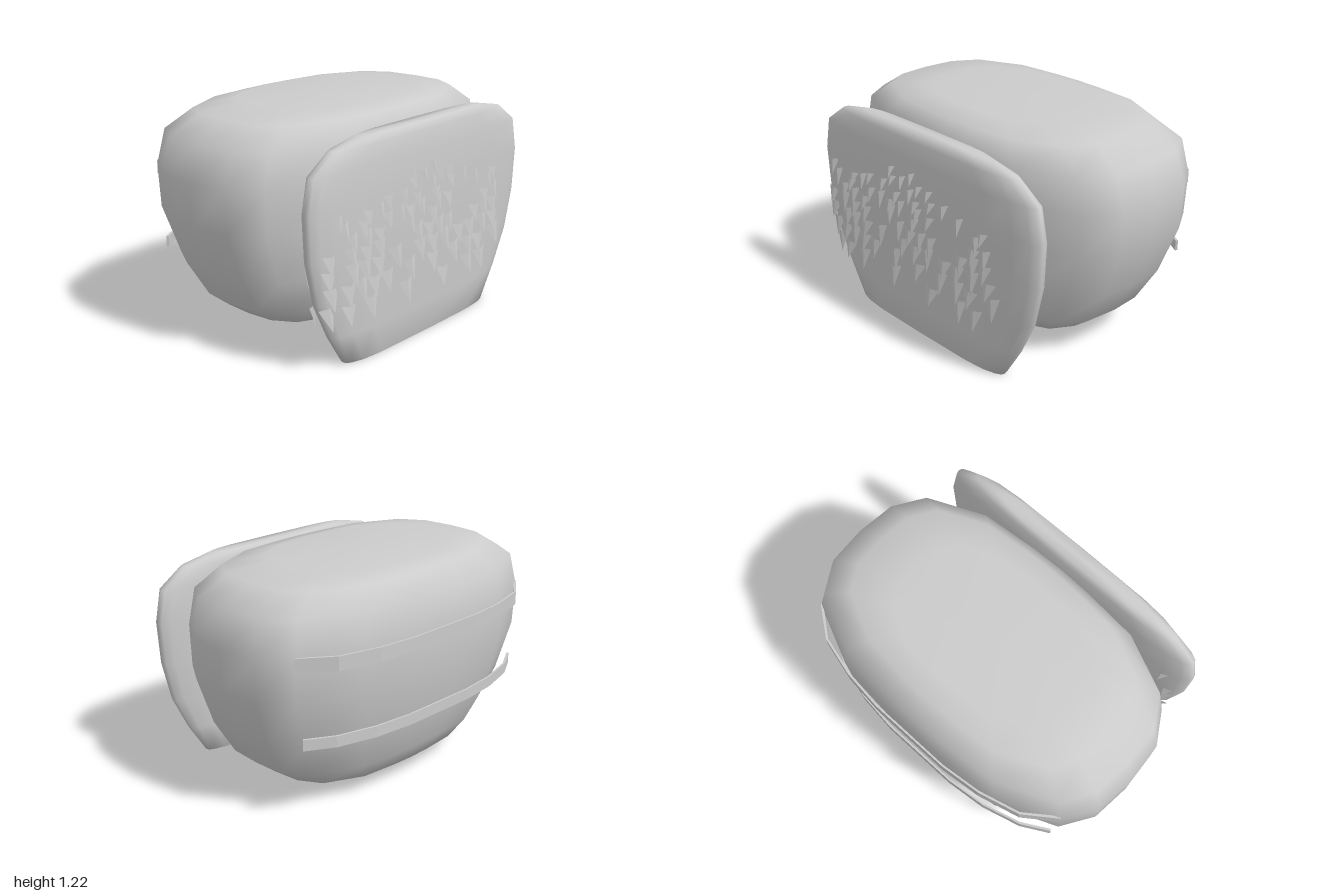
import * as THREE from 'three';

const material = new THREE.MeshStandardMaterial({ color: 0xcccccc });
const thinMaterial = new THREE.MeshStandardMaterial({ color: 0xcccccc, side: THREE.DoubleSide });

// Mirrors a quarter outline (from the +x end to the z end) into a full ring
function fullRing(quarter) {
  const back = quarter.slice(0, -1).reverse();
  const half = [...quarter, ...back.map(([x, z]) => [-x, z])];
  return [...half, ...half.slice(1, -1).reverse().map(([x, z]) => [x, -z])];
}

// Smooth closed loft; each section is [y, half width, back z, front z]
function loft(name, quarter, sections) {
  const ring = fullRing(quarter);
  const n = ring.length;
  const pos = [], index = [];
  for (const [y, w, z0, z1] of sections) {
    for (const [x, z] of ring) pos.push(x * w, y, (z0 + z1) / 2 + z * (z1 - z0) / 2);
  }
  const last = sections.length - 1;
  for (const s of [sections[0], sections[last]]) pos.push(0, s[0], (s[2] + s[3]) / 2);
  const bottom = n * (last + 1), top = bottom + 1;
  for (let j = 0; j < n; j++) {
    const k = (j + 1) % n;
    for (let i = 0; i < last; i++) {
      const a = i * n + j, b = i * n + k;
      index.push(a, a + n, b, b, a + n, b + n);
    }
    index.push(bottom, j, k, top, last * n + k, last * n + j);
  }
  const geo = new THREE.BufferGeometry();
  geo.setAttribute('position', new THREE.Float32BufferAttribute(pos, 3));
  geo.setIndex(index);
  geo.computeVertexNormals();
  const mesh = new THREE.Mesh(geo, material);
  mesh.name = name;
  return mesh;
}

// Thin band bent around the back of the body
function strap(name, y, height, points) {
  const half = points.slice(0, -1);
  const path = [...points, ...half.reverse().map(([x, z]) => [-x, z])];
  const inner = path.map(([x, z]) => [x * 0.99, z + 0.01]).reverse();
  const shape = new THREE.Shape([...path, ...inner].map(([x, z]) => new THREE.Vector2(x, -z)));
  const geo = new THREE.ExtrudeGeometry(shape, { depth: height, bevelEnabled: false });
  geo.rotateX(-Math.PI / 2);
  const mesh = new THREE.Mesh(geo, material);
  mesh.name = name;
  mesh.position.y = y;
  return mesh;
}

// Folded triangular tuft, hanging down with its tip lifted outwards
function tuftGeometry() {
  const geo = new THREE.BufferGeometry();
  geo.setAttribute('position', new THREE.Float32BufferAttribute([
    -0.5, 0, 0, 0.05, -1, 0.035, 0, -0.04, 0.02,
    0, -0.04, 0.02, 0.05, -1, 0.035, 0.5, 0.05, 0,
  ], 3));
  geo.computeVertexNormals();
  return geo;
}

export function createModel() {
  const model = new THREE.Group();

  // Rounded main body
  model.add(loft('body',
    [[1, 0], [0.98, 0.39], [0.87, 0.69], [0.54, 0.94], [0.2, 0.99], [0, 1]],
    [[0.10, 0.64, -0.47, 0.34], [0.20, 0.77, -0.53, 0.41], [0.40, 0.89, -0.605, 0.475],
      [0.67, 0.99, -0.655, 0.495], [0.90, 1.0, -0.665, 0.495], [1.09, 0.95, -0.64, 0.485],
      [1.19, 0.79, -0.54, 0.41], [1.22, 0.53, -0.42, 0.28]]));

  // Flat front panel
  const panel = loft('frontPanel',
    [[1, 0], [0.99, 0.28], [0.94, 0.52], [0.83, 0.78], [0.62, 0.95], [0, 1]],
    [[0, 0.6, 0.51, 0.645], [0.17, 0.71, 0.505, 0.65], [0.37, 0.81, 0.5, 0.657],
      [0.6, 0.865, 0.492, 0.667], [0.84, 0.88, 0.49, 0.67], [1.02, 0.845, 0.498, 0.66],
      [1.12, 0.7, 0.512, 0.645], [1.16, 0.5, 0.53, 0.625]]);
  model.add(panel);

  // Two straps across the back
  model.add(strap('upperStrap', 0.848, 0.075,
    [[0.87, -0.485], [0.7, -0.61], [0.47, -0.67], [0.24, -0.695], [0, -0.695]]));
  model.add(strap('lowerStrap', 0.43, 0.06,
    [[0.83, -0.49], [0.68, -0.575], [0.46, -0.635], [0.23, -0.66], [0, -0.66]]));

  // Tufts laid on the panel in rows: [top y, x positions]
  const frontRows = [
    [0.95, [-0.18, -0.01]],
    [0.91, [-0.17, -0.09, 0.05, 0.13]],
    [0.86, [-0.37, -0.25, -0.02, 0.15, 0.25]],
    [0.82, [-0.73, -0.52, -0.44, -0.14, 0.02, 0.36, 0.54]],
    [0.77, [-0.69, -0.55, -0.37, -0.28, -0.19, -0.11, 0.03, 0.13, 0.49]],
    [0.71, [-0.63, -0.53, -0.43, -0.2, 0, 0.47, 0.55]],
    [0.64, [-0.77, -0.64, -0.53, -0.43, -0.13, -0.03, 0.05, 0.13, 0.38, 0.46, 0.55]],
    [0.56, [-0.77, -0.62, -0.54, -0.43, -0.3, -0.1, 0.01, 0.1, 0.24, 0.34, 0.45, 0.57]],
    [0.46, [-0.75, -0.64, -0.56, -0.46, -0.36, -0.18, 0.02, 0.2, 0.33, 0.43, 0.59]],
    [0.35, [-0.76, -0.63, -0.48, -0.2, 0.12, 0.34, 0.46]],
  ];
  const backRows = [
    [0.82, [-0.73]], [0.64, [-0.77, -0.64]], [0.56, [-0.77, -0.62]],
    [0.46, [-0.75, -0.64]], [0.35, [-0.76, -0.6, 0.34, 0.46]],
  ];
  const geo = tuftGeometry();
  const ray = new THREE.Raycaster();
  for (const [side, rows] of [[1, frontRows], [-1, backRows]]) {
    const tufts = new THREE.Group();
    tufts.name = side > 0 ? 'frontTufts' : 'backTufts';
    rows.forEach(([y, xs], r) => xs.forEach((x, i) => {
      // Find the panel surface under the tuft
      ray.set(new THREE.Vector3(x, y - 0.03, 2 * side), new THREE.Vector3(0, 0, -side));
      const hit = ray.intersectObject(panel)[0];
      if (!hit) return;
      const wobble = Math.sin(r * 5.1 + i * 2.3);
      const size = 0.06 + 0.05 * Math.min(1, (0.95 - y) / 0.4);
      const tuft = new THREE.Mesh(geo, thinMaterial);
      tuft.name = 'tuft';
      tuft.position.set(x, y + 0.01 * wobble, hit.point.z);
      tuft.scale.set(size, size * (1.1 + 0.12 * wobble), side * 0.8);
      tuft.rotation.z = 0.12 * wobble;
      tufts.add(tuft);
    }));
    model.add(tufts);
  }
  return model;
}
